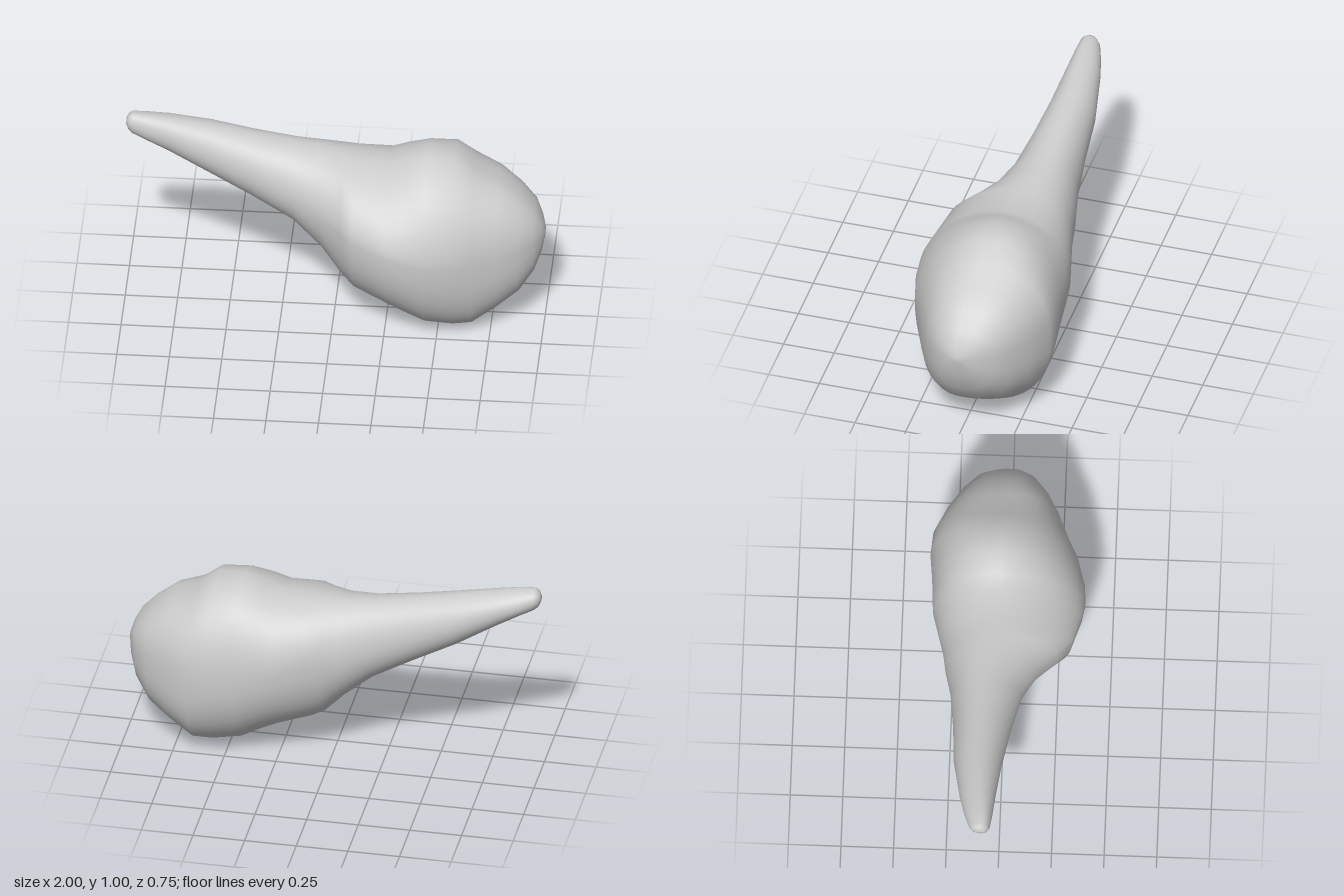
import * as THREE from 'three';

// Cross-sections along x: [x, top, bottom, back z, front z, widest y, ridge z]
const beak = [
  [-1, 0.965, 0.935, -0.10, -0.06, 0.95, -0.08],
  [-0.99, 0.99, 0.91, -0.12, -0.045, 0.95, -0.08],
  [-0.97, 1.0, 0.89, -0.135, -0.035, 0.945, -0.075],
  [-0.9, 0.994, 0.855, -0.16, -0.025, 0.92, -0.075],
  [-0.8, 0.98, 0.8, -0.185, -0.015, 0.89, -0.085],
  [-0.6, 0.945, 0.68, -0.22, 0.01, 0.81, -0.1],
  [-0.4, 0.905, 0.57, -0.23, 0.045, 0.73, -0.1],
  [-0.2, 0.87, 0.455, -0.25, 0.09, 0.65, -0.1],
];
const head = [
  [-0.06, 0.855, 0.33, -0.28, 0.16, 0.6, -0.09],
  [0.04, 0.848, 0.215, -0.295, 0.25, 0.58, -0.07],
  [0.1, 0.843, 0.175, -0.31, 0.315, 0.57, -0.05],
  [0.26, 0.835, 0.115, -0.35, 0.36, 0.52, -0.03],
  [0.34, 0.868, 0.075, -0.355, 0.372, 0.5, -0.03],
  [0.44, 0.898, 0.02, -0.36, 0.365, 0.47, -0.03],
  [0.57, 0.892, 0.002, -0.373, 0.33, 0.45, -0.03],
  [0.66, 0.812, 0.015, -0.365, 0.285, 0.44, -0.02],
  [0.78, 0.765, 0.1, -0.305, 0.235, 0.44, 0],
  [0.88, 0.69, 0.175, -0.24, 0.18, 0.45, 0],
  [0.95, 0.62, 0.28, -0.17, 0.12, 0.47, 0],
  [0.985, 0.55, 0.38, -0.09, 0.065, 0.48, 0],
  [1, 0.5, 0.46, -0.03, 0.02, 0.48, 0],
];

// Signed power for rounded, slightly squared or pinched quadrants
const spow = (v, n) => Math.sign(v) * Math.pow(Math.abs(v), 2 / n);

function loft(sections, sides) {
  const pos = [], index = [];
  const first = sections[0], last = sections[sections.length - 1];
  // collapsed rings close both ends
  const close = ([x, , , , , y, z]) => [x, y, y, z, z, y, z];
  const rings = [close(first), ...sections, close(last)];
  rings.forEach(([x, top, bottom, back, front, cy, cz], j) => {
    const k = THREE.MathUtils.smoothstep(x, -0.3, 0.3);
    const blunt = 0.4 * THREE.MathUtils.smoothstep(x, 0.52, 0.72);
    // the keel under the head lies further forward than the crown
    const keel = cz + 0.065 * k * (1 - THREE.MathUtils.smoothstep(x, 0.6, 0.9));
    for (let i = 0; i < sides; i++) {
      const a = (i / sides) * Math.PI * 2;
      const c = Math.cos(a), s = Math.sin(a);
      // the front upper quarter is leaner than the others on the head
      const n = 2 + blunt + k * (s > 0 && c > 0 ? -0.3 : 0.15);
      const h = s > 0 ? top - cy : cy - bottom;
      const mid = s > 0 ? cz : keel;
      const w = c > 0 ? front - mid : mid - back;
      pos.push(x, cy + h * spow(s, n), mid + w * spow(c, n));
      if (j < rings.length - 1) {
        const p = j * sides + i, q = j * sides + (i + 1) % sides;
        index.push(p, p + sides, q, q, p + sides, q + sides);
      }
    }
  });
  const geometry = new THREE.BufferGeometry();
  geometry.setAttribute('position', new THREE.Float32BufferAttribute(pos, 3));
  geometry.setIndex(index);
  geometry.computeVertexNormals();
  return geometry;
}

export function createModel() {
  const group = new THREE.Group();
  group.name = 'beakedHead';
  const material = new THREE.MeshStandardMaterial({ color: 0xcccccc });
  // One continuous skin: slender beak flowing into a bulbous head
  const skin = new THREE.Mesh(loft([...beak, ...head], 48), material);
  skin.name = 'headAndBeak';
  group.add(skin);
  return group;
}
